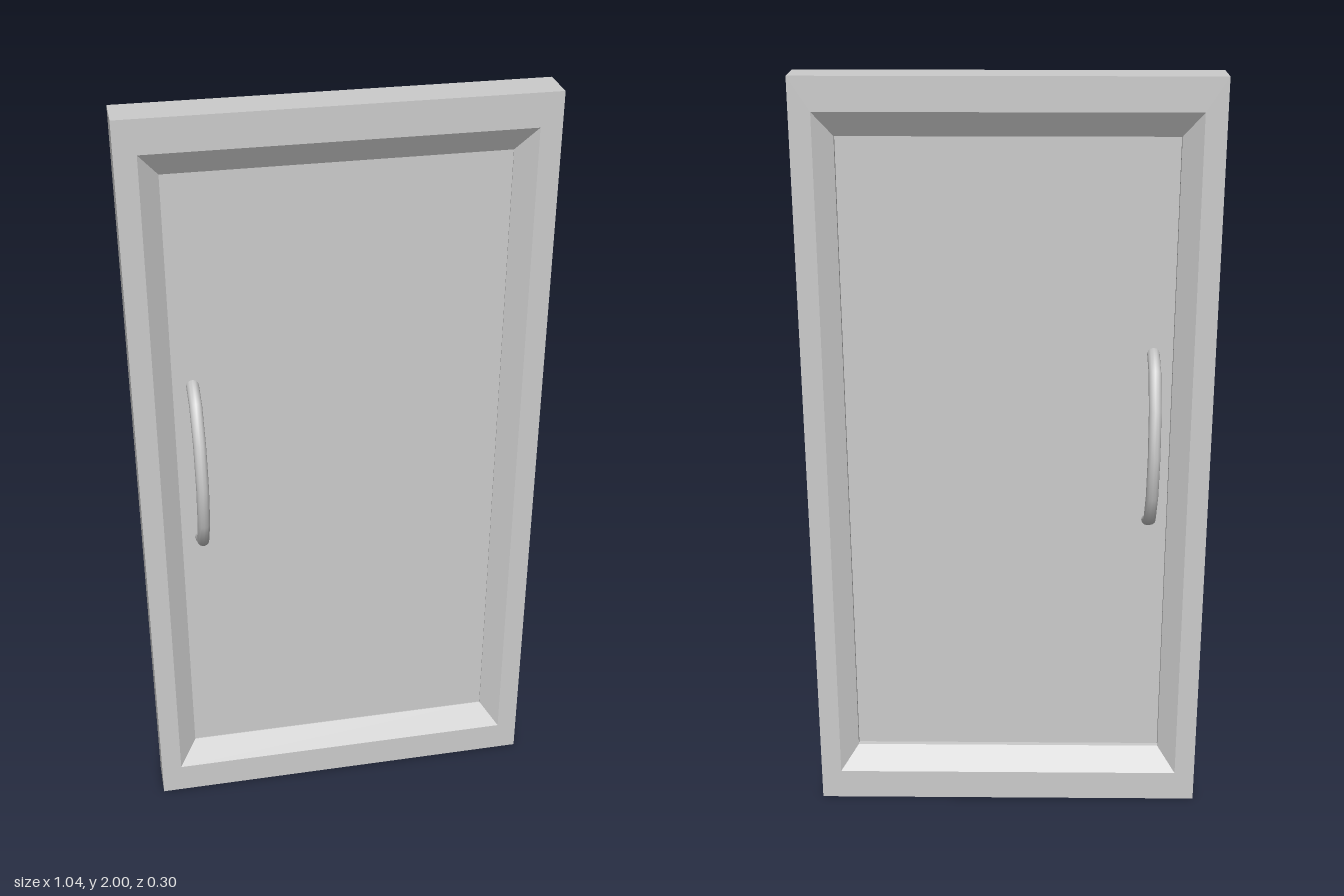
import * as THREE from 'three';

// Upright elliptical loop in the y-z plane
class HandleCurve extends THREE.Curve {
  getPoint(t, target = new THREE.Vector3()) {
    const a = t * Math.PI * 2;
    return target.set(0, 0.231 * Math.sin(a), 0.132 * Math.cos(a));
  }
  // Even steps of angle rather than of arc length
  getPointAt(t, target) { return this.getPoint(t, target); }
  getTangentAt(t) {
    const a = t * Math.PI * 2;
    return new THREE.Vector3(0, 0.231 * Math.cos(a), -0.132 * Math.sin(a)).normalize();
  }
}

// Mitred frame: rectangular rings [halfWidth, halfHeight, z] joined in a closed loop
function frameGeometry(rings) {
  const corner = ([w, h, z], k) => [[-w, -h, z], [w, -h, z], [w, h, z], [-w, h, z]][k % 4];
  const positions = [];
  rings.forEach((a, i) => {
    const b = rings[(i + 1) % rings.length];
    for (let k = 0; k < 4; k++) {
      const p = corner(a, k), q = corner(a, k + 1), r = corner(b, k + 1), s = corner(b, k);
      positions.push(...p, ...q, ...r, ...p, ...r, ...s);
    }
  });
  const geometry = new THREE.BufferGeometry();
  geometry.setAttribute('position', new THREE.Float32BufferAttribute(positions, 3));
  geometry.computeVertexNormals();
  return geometry;
}

export function createModel() {
  const group = new THREE.Group();
  const material = new THREE.MeshStandardMaterial({ color: 0xcccccc });
  const add = (name, geometry, x, y, z) => {
    const mesh = new THREE.Mesh(geometry, material);
    mesh.name = name;
    mesh.position.set(x, y, z);
    group.add(mesh);
  };

  // Frame with sloped inner edges on both faces
  const depth = 0.052, lip = 0.012;
  add('doorFrame', frameGeometry([
    [0.522, 1, -depth], [0.522, 1, depth],
    [0.468, 0.916, depth], [0.42, 0.852, lip],
    [0.42, 0.852, -lip], [0.468, 0.916, -depth],
  ]), 0, 1, 0);

  // Thin panel, set nearer the front lip
  add('panel', new THREE.BoxGeometry(0.84, 1.704, 0.008), 0, 1, 0.006);

  // Pull handle passing through the panel, bowed out on both sides
  add('handle', new THREE.TubeGeometry(new HandleCurve(), 12, 0.016, 12, true), -0.37, 1.07, 0);

  return group;
}
